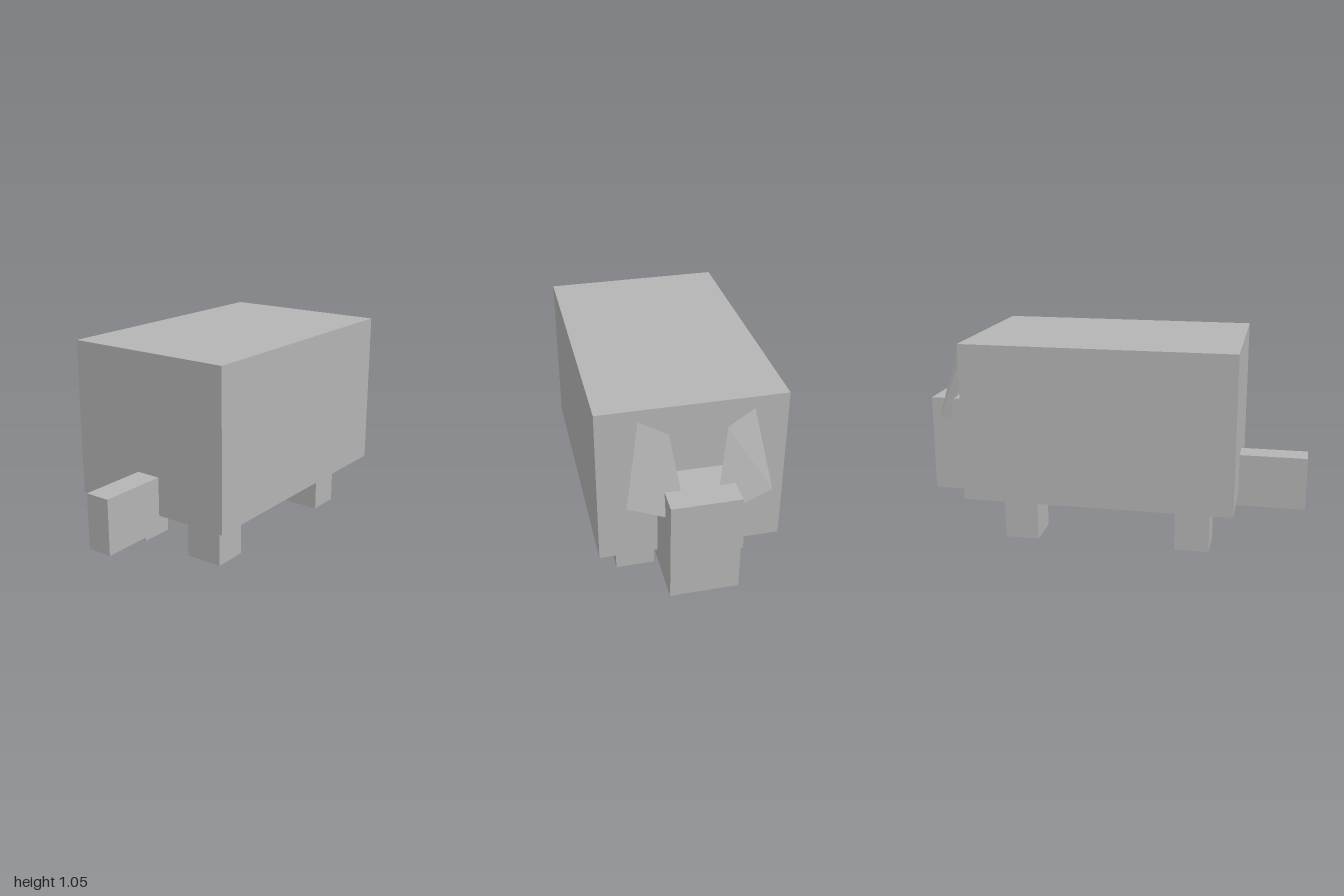
import * as THREE from 'three';

export function createModel() {
  const model = new THREE.Group();
  const grey = new THREE.MeshStandardMaterial({ color: 0xb4b4b4, flatShading: true, side: THREE.DoubleSide });
  grey.name = 'plain grey';

  // Box given by its lower and upper corners
  function block(name, [x0, y0, z0], [x1, y1, z1]) {
    const mesh = new THREE.Mesh(new THREE.BoxGeometry(x1 - x0, y1 - y0, z1 - z0), grey);
    mesh.position.set((x0 + x1) / 2, (y0 + y1) / 2, (z0 + z1) / 2);
    mesh.name = name;
    model.add(mesh);
  }

  block('body', [-0.45, 0.24, -0.73], [0.45, 1.05, 0.65]);
  block('head', [-0.165, 0.187, -1], [0.165, 0.697, -0.67]);
  block('tail', [-0.065, 0.16, 0.6], [0.065, 0.44, 1]);

  // Four stubby legs
  for (const [side, x] of [['right', -0.34], ['left', 0.142]]) {
    block(side + 'TailEndLeg', [x, 0, 0.348], [x + 0.198, 0.24, 0.525]);
    block(side + 'HeadEndLeg', [x, 0, -0.55], [x + 0.198, 0.24, -0.373]);
  }

  // Thin, slightly bent ears, mirrored; their roots are sunk in the head
  for (const [side, s] of [['left', 1], ['right', -1]]) {
    const corners = [
      [0.266, 1.03, -0.79], [0.134, 0.967, -0.82],
      [0.065, 0.54, -0.91], [0.34, 0.64, -0.885],
    ];
    const points = corners.flatMap(([x, y, z]) => [s * x, y, z]);
    const geometry = new THREE.BufferGeometry();
    geometry.setAttribute('position', new THREE.Float32BufferAttribute(points, 3));
    geometry.setIndex(s > 0 ? [0, 1, 3, 1, 2, 3] : [0, 3, 1, 1, 3, 2]);
    const flat = geometry.toNonIndexed();
    flat.computeVertexNormals();
    const ear = new THREE.Mesh(flat, grey);
    ear.name = side + 'Ear';
    model.add(ear);
  }

  return model;
}
